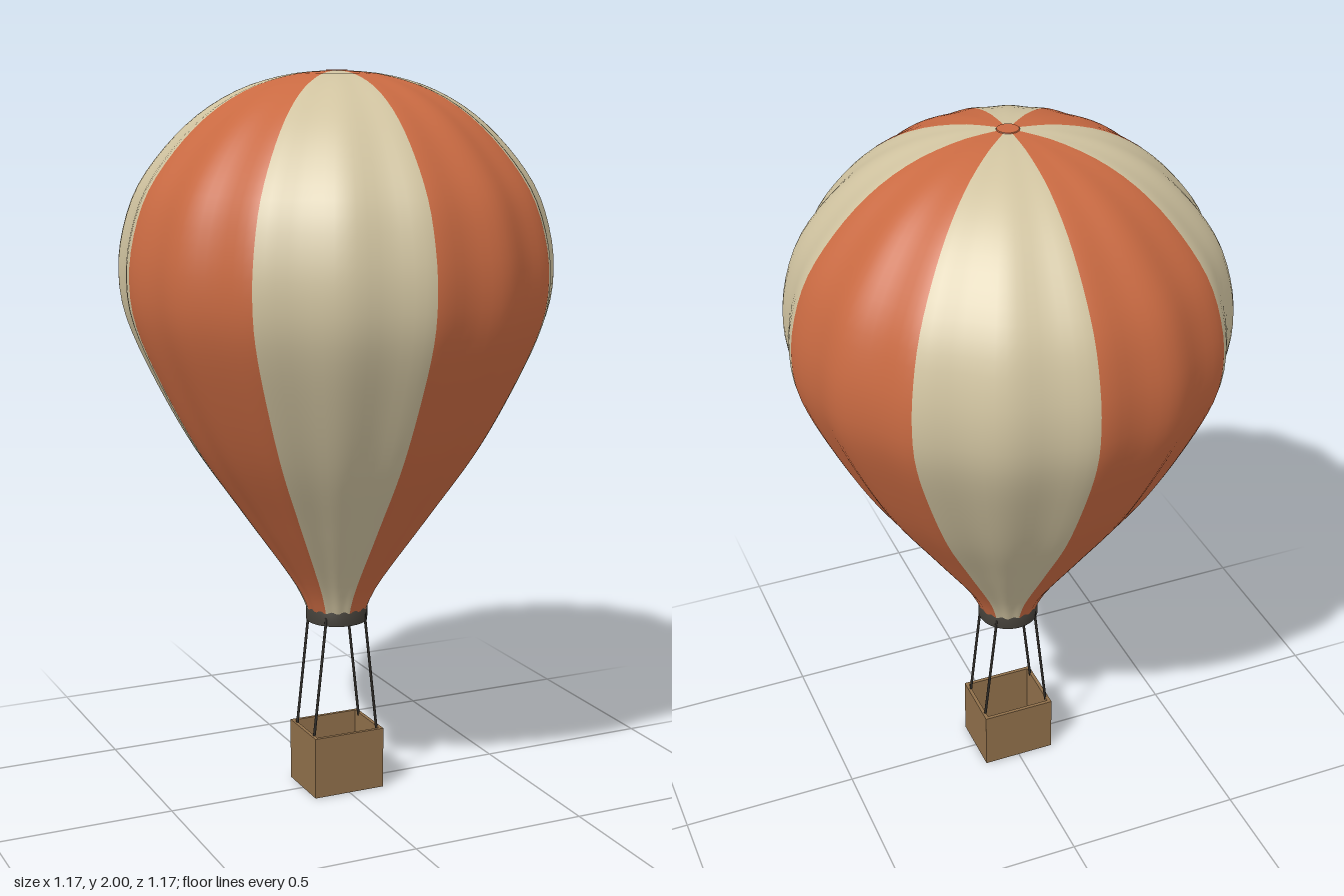
import * as THREE from 'three';

const mat = (color, side = THREE.FrontSide) =>
  new THREE.MeshStandardMaterial({ color, side, roughness: 0.9 });
const orange = mat(0xc96a42, THREE.DoubleSide);
const cream = mat(0xd0c3a0, THREE.DoubleSide);
const dark = mat(0x45413a, THREE.DoubleSide);
const ropeMat = mat(0x2b2824);
const wicker = mat(0x8f6f4a);

const GORES = 8, PER_GORE = 16, RINGS = 48;

// Envelope: fluted surface of revolution, split into alternating coloured gores
function envelope() {
  const profile = new THREE.SplineCurve([
    [0.08, 0.51], [0.122, 0.6], [0.262, 0.8], [0.4, 1.0], [0.507, 1.2], [0.57, 1.35],
    [0.587, 1.46], [0.576, 1.57], [0.535, 1.69], [0.456, 1.8], [0.36, 1.89],
    [0.25, 1.953], [0.13, 1.988], [0.03, 1.998],
  ].map(([r, y]) => new THREE.Vector2(r, y))).getSpacedPoints(RINGS);

  const cols = GORES * PER_GORE, positions = [], faces = [[], []];
  for (const p of profile) {
    for (let i = 0; i < cols; i++) {
      const a = (i / cols) * Math.PI * 2;
      const r = p.x * (1 - 0.0125 * (1 - Math.cos(16 * a)));
      positions.push(r * Math.cos(a), p.y, r * Math.sin(a));
    }
  }
  for (let j = 0; j < RINGS; j++) {
    for (let i = 0; i < cols; i++) {
      const a = j * cols + i, b = j * cols + (i + 1) % cols;
      const list = faces[Math.floor(i / PER_GORE) % 2];
      list.push(a, a + cols, b, b, a + cols, b + cols);
    }
  }
  // normals come from the whole surface so the seams stay smooth
  const whole = new THREE.BufferGeometry();
  whole.setAttribute('position', new THREE.Float32BufferAttribute(positions, 3));
  whole.setIndex([...faces[0], ...faces[1]]);
  whole.computeVertexNormals();

  const group = new THREE.Group();
  group.name = 'envelope';
  faces.forEach((index, k) => {
    const g = new THREE.BufferGeometry();
    g.setAttribute('position', whole.getAttribute('position'));
    g.setAttribute('normal', whole.getAttribute('normal'));
    g.setIndex(index);
    const mesh = new THREE.Mesh(g, k ? orange : cream);
    mesh.name = k ? 'orangeGores' : 'creamGores';
    group.add(mesh);
  });
  return group;
}

// Straight rope between two points
function rope(a, b) {
  const mesh = new THREE.Mesh(new THREE.CylinderGeometry(0.004, 0.004, a.distanceTo(b), 8), ropeMat);
  mesh.position.copy(a).add(b).multiplyScalar(0.5);
  mesh.quaternion.setFromUnitVectors(new THREE.Vector3(0, 1, 0), b.clone().sub(a).normalize());
  mesh.name = 'rope';
  return mesh;
}

// Open-topped box with thin walls
function basket(w, h, d, t) {
  const group = new THREE.Group();
  group.name = 'basket';
  const panel = (name, sx, sy, sz, x, y, z) => {
    const m = new THREE.Mesh(new THREE.BoxGeometry(sx, sy, sz), wicker);
    m.position.set(x, y, z);
    m.name = name;
    group.add(m);
  };
  panel('basketFloor', w, t, d, 0, t / 2, 0);
  for (const s of [-1, 1]) {
    panel('basketEndWall', t, h - t, d, s * (w - t) / 2, (h + t) / 2, 0);
    panel('basketSideWall', w - 2 * t, h - t, t, 0, (h + t) / 2, s * (d - t) / 2);
  }
  return group;
}

export function createModel() {
  const model = new THREE.Group();
  model.name = 'hotAirBalloon';
  model.add(envelope());

  // Crown cap
  const cap = new THREE.Mesh(new THREE.CylinderGeometry(0.028, 0.03, 0.004, 32), orange);
  cap.position.y = 1.998;
  cap.name = 'crownCap';
  model.add(cap);

  // Mouth ring: a thin open band
  const band = [[0.079, 0.49], [0.086, 0.49], [0.086, 0.533], [0.079, 0.533], [0.079, 0.49]];
  const ringGeo = new THREE.LatheGeometry(band.map(([r, y]) => new THREE.Vector2(r, y)), 48);
  const ring = new THREE.Mesh(ringGeo, dark);
  ring.name = 'mouthRing';
  model.add(ring);

  // Four ropes from ring to basket rim
  for (const sx of [-1, 1]) {
    for (const sz of [-1, 1]) {
      model.add(rope(
        new THREE.Vector3(sx * 0.097, 0.165, sz * 0.059),
        new THREE.Vector3(sx * 0.058, 0.515, sz * 0.059)));
    }
  }

  model.add(basket(0.21, 0.175, 0.175, 0.01));
  return model;
}
